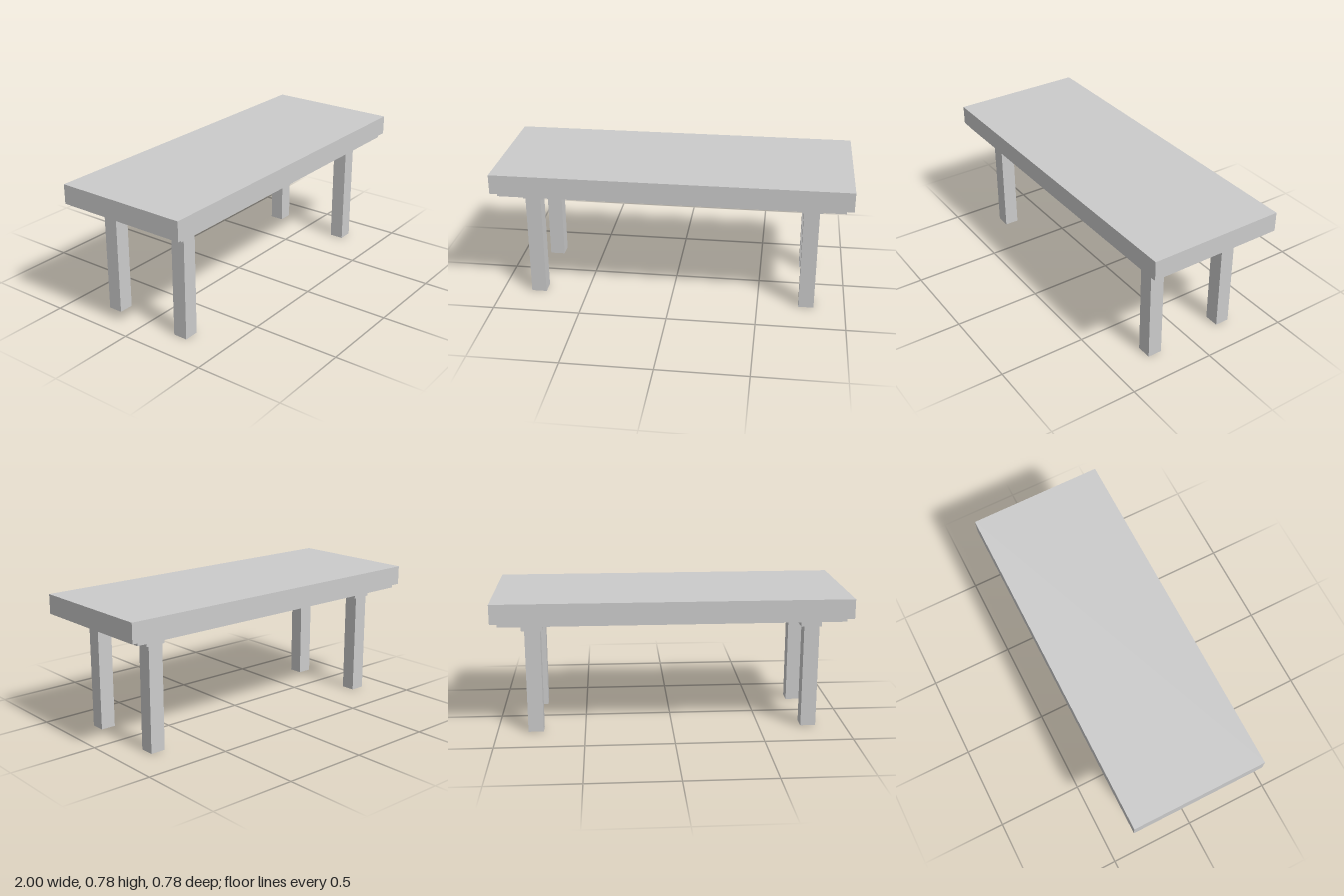
import * as THREE from 'three';

export function createModel() {
  const model = new THREE.Group();
  model.name = 'table';
  const material = new THREE.MeshStandardMaterial({ color: 0xcccccc, flatShading: true });

  // Box given by its width, depth, bottom and top heights
  function addBox(parent, name, width, depth, bottom, top, x = 0, z = 0) {
    const mesh = new THREE.Mesh(new THREE.BoxGeometry(width, top - bottom, depth), material);
    mesh.name = name;
    mesh.position.set(x, (bottom + top) / 2, z);
    parent.add(mesh);
  }

  // Thick top and the thin, slightly smaller panel below it
  addBox(model, 'tableTop', 2, 0.778, 0.667, 0.778);
  addBox(model, 'underPanel', 1.922, 0.75, 0.648, 0.667);

  // Four legs, each with a wider block at its head
  for (const [front, z] of [['front', 0.236], ['back', -0.236]]) {
    for (const [side, x] of [['Left', 1], ['Right', -1]]) {
      const leg = new THREE.Group();
      leg.name = `${front}${side}Leg`;
      addBox(leg, 'legPost', 0.087, 0.083, front === 'front' ? 0 : 0.004, 0.598, x > 0 ? 0.78 : -0.786, z);
      addBox(leg, 'legBlock', 0.116, 0.093, 0.598, 0.648, x * 0.783, z);
      model.add(leg);
    }
  }
  return model;
}
